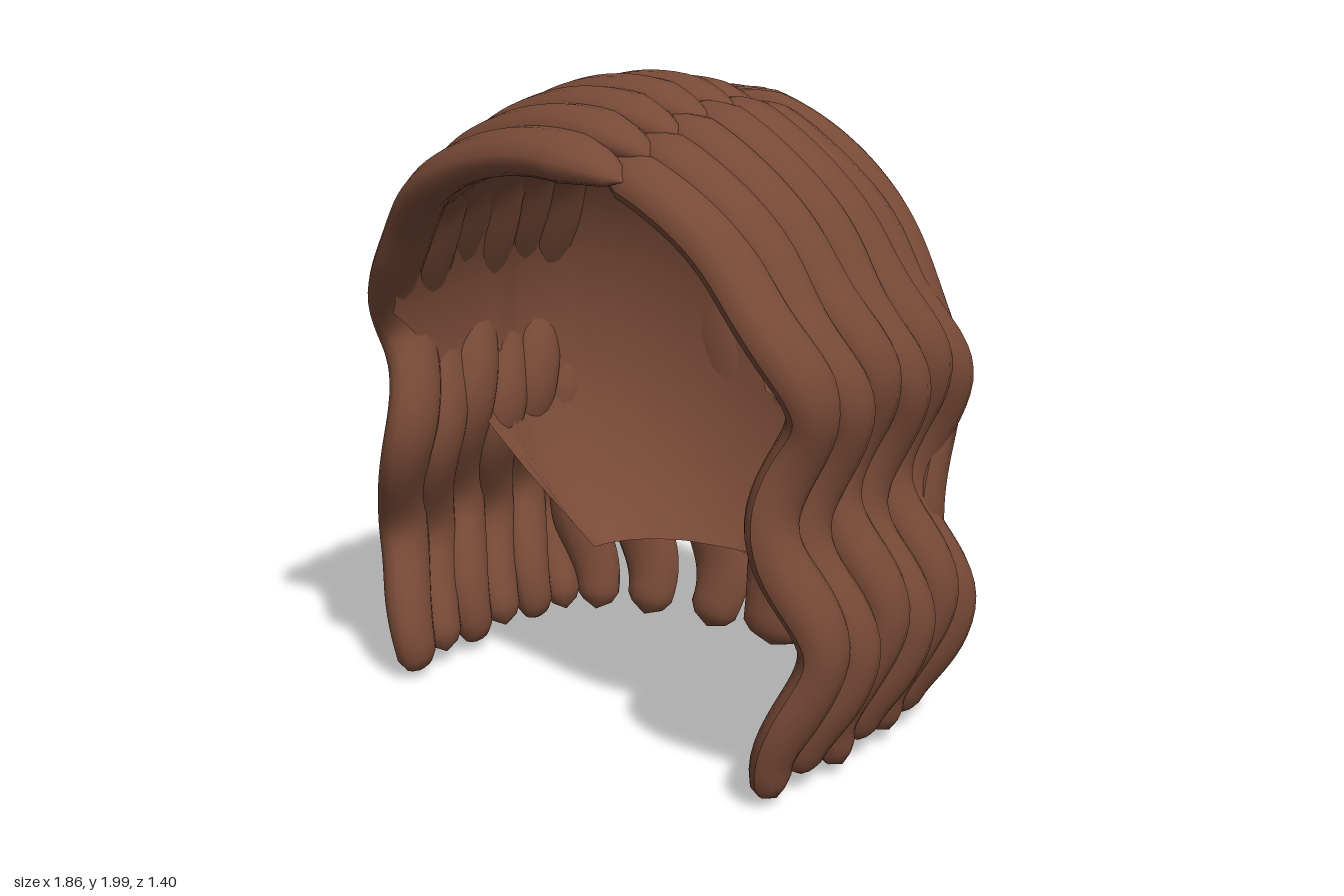
import * as THREE from 'three';

const BASE = 1.1;   // height where the dome turns into hanging hair
const TIP = 0.03;   // height of the lock ends
const TAU = Math.PI * 2;
const lerp = THREE.MathUtils.lerp;
const smooth = THREE.MathUtils.smoothstep;

// Grid of vertices -> smooth geometry
function gridGeometry(rows, cols, pointAt) {
  const pos = [], idx = [];
  for (let i = 0; i <= rows; i++) {
    for (let j = 0; j <= cols; j++) {
      const p = pointAt(i, j);
      pos.push(p.x, p.y, p.z);
      if (i < rows && j < cols) {
        const a = i * (cols + 1) + j, c = a + cols + 1;
        idx.push(a, c, a + 1, a + 1, c, c + 1);
      }
    }
  }
  const g = new THREE.BufferGeometry();
  g.setAttribute('position', new THREE.Float32BufferAttribute(pos, 3));
  g.setIndex(idx);
  g.computeVertexNormals();
  return g;
}

// Sweep a flattened oval along a path; closed ring, rounded ends
function lockGeometry(pathAt, normalAt, widthAt, thick) {
  const N = 72, M = 14, rings = [];
  for (let i = 0; i <= N; i++) {
    const t = i / N;
    const p = pathAt(t);
    const T = pathAt(Math.min(1, t + 0.004)).sub(pathAt(Math.max(0, t - 0.004))).normalize();
    const n = normalAt(p);
    n.addScaledVector(T, -n.dot(T)).normalize();
    const b = new THREE.Vector3().crossVectors(T, n);
    const start = Math.sqrt(Math.min(1, t / 0.07));
    const end = Math.sqrt(Math.min(1, (1 - t) / 0.025));
    const k = Math.max(0.01, start * end);
    const slim = 1 - 0.22 * smooth(t, 0.88, 1);
    rings.push({ p, n, b, w: widthAt(t) * k * slim, h: thick * k * slim });
  }
  return gridGeometry(N, M, (i, j) => {
    const { p, n, b, w, h } = rings[i], a = ((j % M) / M) * TAU;
    return p.clone().addScaledVector(b, w * Math.cos(a)).addScaledVector(n, h * Math.sin(a));
  });
}

// Waves that grow in as the hair leaves the dome
const ramp = (y) => 1 - smooth(y, 1.15, 1.7);
const swayWave = (y, ph) => ramp(y) * Math.cos((TAU * (y - 0.15)) / 0.65 + ph);
const bulgeWave = (y, ph) => ramp(y) * Math.cos((TAU * (y - 0.5)) / 0.75 + ph);
const curl = (y) => 1 - smooth(y, 0, 0.3);

// Lock that leaves the parting, crosses the top and hangs at the side
function sideLock(s, o) {
  const split = 0.55;
  const path = (t) => {
    const th = lerp(o.start, Math.PI / 2, Math.min(1, t / split));
    let y = BASE + (o.top - BASE) * Math.cos(th);
    if (t > split) y = lerp(BASE, TIP + o.lift, (t - split) / (1 - split));
    const flare = 0.03 * (1 - smooth(y, 0.45, 0.9));
    const x = o.x * Math.sin(th) + 0.052 * bulgeWave(y, o.phase) + flare - 0.03 * curl(y);
    const z = lerp(o.zTop, o.zSide, smooth(Math.max(0, th), 0.45, 1.57)) + 0.04 * swayWave(y, o.phase);
    return new THREE.Vector3(s * x, y, z);
  };
  const normal = (p) => {
    const up = Math.max(0, p.y - BASE);
    return new THREE.Vector3(p.x / 0.64, up / 0.6 + 0.001, p.z * up * 0.9);
  };
  return lockGeometry(path, normal, (t) => o.width * lerp(1, 0.9, smooth(t, 0.5, 0.9)), 0.064);
}

// Lock that fans out of the crown and hangs at the back
function backLock(angle, o) {
  const split = 0.5, sx = Math.sin(angle), cz = Math.cos(angle);
  const path = (t) => {
    const th = lerp(0.1, Math.PI / 2, Math.min(1, t / split));
    let y = BASE + 0.82 * Math.pow(Math.max(0, Math.cos(th)), 1.08);
    if (t > split) y = lerp(BASE, TIP + o.lift, (t - split) / (1 - split));
    const r = Math.sin(th) + 0.02 * bulgeWave(y, o.phase);
    const inward = 1 - smooth(y, 0.3, 1.1);
    const sway = o.sway * swayWave(y, o.phase);
    return new THREE.Vector3(
      0.8 * sx * (r - 0.01 * inward - 0.04 * curl(y)) + sway * cz, y,
      -0.1 - 0.53 * cz * (r - 0.11 * inward - 0.14 * curl(y)) + sway * sx);
  };
  const normal = (p) =>
    new THREE.Vector3(p.x / 0.64, Math.max(0, p.y - BASE) / 0.64 + 0.001, (p.z + 0.08) / 0.3);
  const width = (t) => o.width * lerp(0.5, 1, smooth(t, 0, 0.4)) * lerp(1, o.low, smooth(t, 0.6, 0.85));
  return lockGeometry(path, normal, width, 0.068);
}

// Thin inner cap: half dome at the back, vault running forward on top
function capGeometry() {
  const low = 13, dome = 20, vault = 8, cols = 40, rim = Math.asin(0.87);
  return gridGeometry(dome + vault, cols, (i, j) => {
    // one row meets the nape cut exactly
    const a = i <= low ? (rim * i) / low : lerp(rim, Math.PI / 2, Math.min(1, (i - low) / (dome - low)));
    const f = Math.max(0, i - dome) / vault;
    const r = Math.sin(a);
    // the lower rim is cut level at the nape
    const cut = Math.acos(Math.max(-1, -0.87 / Math.max(r, 0.001)));
    const phi = lerp(-1, 1, j / cols) * lerp(cut, 1.35, Math.sqrt(f));
    const ry = lerp(0.78, 0.67, f * f);
    return new THREE.Vector3(
      0.75 * r * Math.sin(phi),
      BASE + ry * r * Math.cos(phi),
      f > 0 ? 0.52 * f : -0.57 * Math.cos(a));
  });
}

export function createModel() {
  const hair = new THREE.MeshStandardMaterial({ color: 0x784a37, side: THREE.DoubleSide });
  hair.name = 'brown hair';
  const wig = new THREE.Group();
  wig.name = 'wig';
  const add = (name, geometry) => {
    const m = new THREE.Mesh(geometry, hair);
    m.name = name;
    wig.add(m);
  };

  add('innerCap', capGeometry());

  // Side locks from front to back; the parting sits left of the middle
  const zSide = [0.43, 0.29, 0.15, 0.01, -0.13, -0.26];
  const xSide = [0.78, 0.79, 0.795, 0.79, 0.78, 0.76];
  const top = [1.83, 1.885, 1.925, 1.95, 1.95, 1.925];
  const zRight = [0.6, 0.48, 0.36, 0.23, 0.09, -0.04];
  const zLeft = [0.51, 0.4, 0.28, 0.15, 0.02, -0.1];
  for (let i = 0; i < 6; i++) {
    const shared = {
      zSide: zSide[i], width: i === 0 ? 0.1 : 0.094,
      phase: [0, 0.4, -0.3, 0.3, -0.2, 0.5][i], lift: [0, 0.03, 0.01, 0.04, 0.02, 0.03][i],
    };
    add('rightLock' + (i + 1), sideLock(-1, { ...shared, x: xSide[i], start: -0.39, top: top[i], zTop: zRight[i] }));
    add('leftLock' + (i + 1), sideLock(1, { ...shared, x: xSide[i] - 0.015, start: 0.2, top: top[i] - 0.01, zTop: zLeft[i] }));
  }

  // Back locks fan out from the crown in mirrored pairs
  add('backLockMiddle', backLock(-0.02, { width: 0.16, low: 0.95, sway: 0.008, phase: 0, lift: -0.01 }));
  const pairs = [[21.5, 0.14], [43, 0.13], [62, 0.12]];
  pairs.forEach(([deg, width], i) => {
    for (const s of [-1, 1]) {
      const o = { width, low: 0.75, sway: 0.036, phase: s * 0.4 + i * 0.3, lift: 0.01 * i };
      add((s < 0 ? 'rightBackLock' : 'leftBackLock') + (i + 1), backLock(s * THREE.MathUtils.degToRad(deg), o));
    }
  });

  // Stand on the ground
  wig.position.y = -new THREE.Box3().setFromObject(wig).min.y;
  const model = new THREE.Group();
  model.name = 'wavyWig';
  model.add(wig);
  return model;
}
